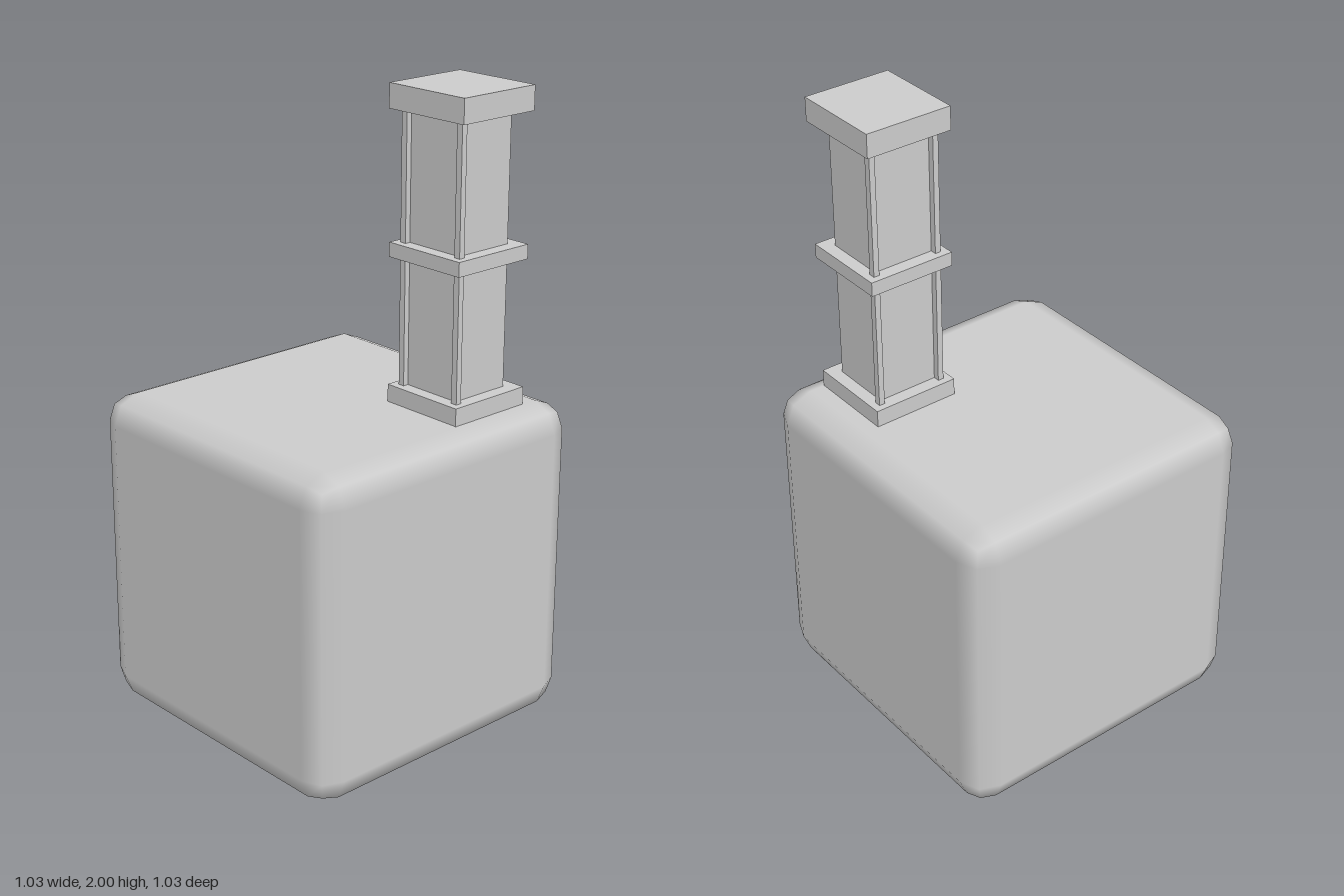
import * as THREE from 'three';
import { RoundedBoxGeometry } from 'three/addons/geometries/RoundedBoxGeometry.js';

const SIZE = 1.032;               // edge of the rounded block
const TX = 0.284, TZ = -0.232;    // tower axis

export function createModel() {
  const group = new THREE.Group();
  const material = new THREE.MeshStandardMaterial({ color: 0xcccccc });

  const add = (parent, name, geometry, x, y, z) => {
    const mesh = new THREE.Mesh(geometry, material);
    mesh.name = name;
    mesh.position.set(x, y, z);
    parent.add(mesh);
  };
  // box on the tower axis, given its width, depth and bottom / top heights
  const slab = (parent, name, w, d, y0, y1, x = 0, z = 0) =>
    add(parent, name, new THREE.BoxGeometry(w, y1 - y0, d), x, (y0 + y1) / 2, z);

  // block with soft rounded edges
  add(group, 'block', new RoundedBoxGeometry(SIZE, SIZE, SIZE, 1, 0.09), 0, SIZE / 2, 0);

  const tower = new THREE.Group();
  tower.name = 'tower';
  tower.position.set(TX, 0, TZ);
  group.add(tower);

  // square shaft with its base, middle band and cap
  slab(tower, 'shaft', 0.202, 0.202, SIZE, 1.95);
  slab(tower, 'basePlate', 0.288, 0.286, SIZE - 0.01, 1.087);
  slab(tower, 'middleBand', 0.288, 0.286, 1.485, 1.53);
  slab(tower, 'cap', 0.3, 0.286, 1.925, 2);

  // thin posts on three corners; the back left corner stays bare
  for (const [sx, sz] of [[-1, 1], [1, 1], [-1, -1]]) {
    slab(tower, 'cornerPost', 0.021, 0.019, SIZE, 1.95, sx * 0.111, sz * 0.1095);
  }
  return group;
}
